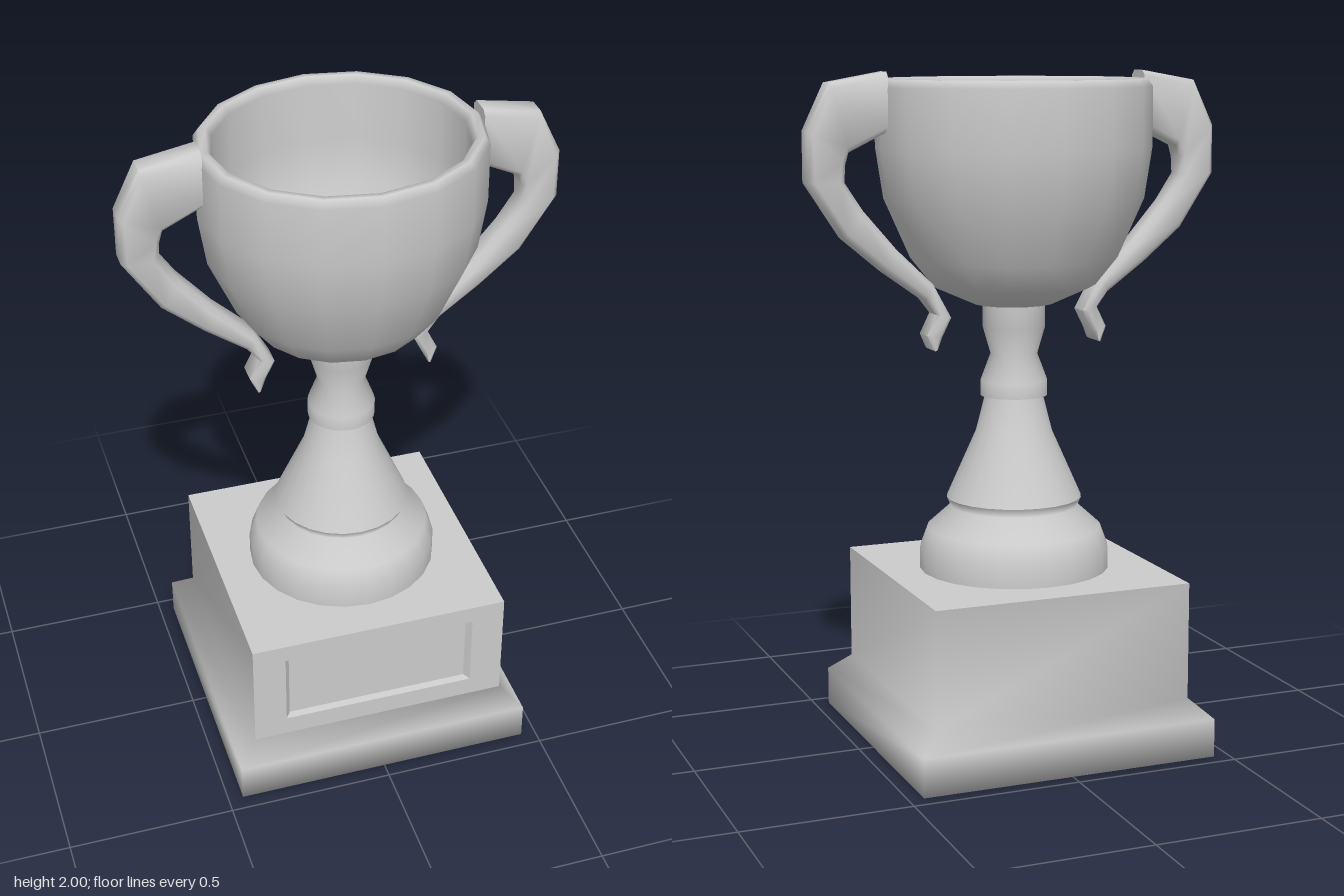
import * as THREE from 'three';
import { toCreasedNormals } from 'three/addons/utils/BufferGeometryUtils.js';

const material = new THREE.MeshStandardMaterial({ color: 0xcccccc });

// Skin a row of rings of equal point count; skip(i, j) leaves a quad open.
function loft(rings, { capStart = false, capEnd = false, skip = () => false } = {}) {
  const n = rings[0].length;
  const index = [];
  for (let i = 0; i < rings.length - 1; i++) {
    for (let j = 0; j < n; j++) {
      if (skip(i, j)) continue;
      const k = (j + 1) % n;
      const a = i * n + j, b = i * n + k, c = b + n, d = a + n;
      index.push(a, b, c, a, c, d);
    }
  }
  const last = (rings.length - 1) * n;
  for (let j = 1; j < n - 1; j++) {
    if (capStart) index.push(0, j + 1, j);
    if (capEnd) index.push(last, last + j, last + j + 1);
  }
  const geometry = new THREE.BufferGeometry();
  geometry.setAttribute('position', new THREE.Float32BufferAttribute(rings.flat(2), 3));
  geometry.setIndex(index);
  geometry.computeVertexNormals();
  return geometry;
}

function part(name, geometry) {
  const mesh = new THREE.Mesh(geometry, material);
  mesh.name = name;
  return mesh;
}

function lathe(name, profile, segments) {
  return part(name, new THREE.LatheGeometry(profile.map(([r, y]) => new THREE.Vector2(r, y)), segments));
}

// Square plinth with a flared skirt and a sunken panel in the front
function createPlinth() {
  const group = new THREE.Group();
  group.name = 'plinth';
  const half = 0.395, top = 0.52, shoulder = 0.17;
  const square = (s, y) => [[-s, y, s], [s, y, s], [s, y, -s], [-s, y, -s]];
  const rect = (x, y0, y1, z) => [[-x, y0, z], [x, y0, z], [x, y1, z], [-x, y1, z]];

  group.add(part('plinthBody', loft(
    [square(0.455, 0), square(0.455, 0.115), square(half, shoulder), square(half, top)],
    { capStart: true, skip: (i, j) => i === 2 && j === 0 },
  )));

  const lid = new THREE.PlaneGeometry(half * 2, half * 2).rotateX(-Math.PI / 2).translate(0, top, 0);
  group.add(part('plinthTop', lid));

  const panel = loft([
    rect(half, shoulder, top, half),
    rect(0.295, 0.23, 0.465, half),
    rect(0.28, 0.235, 0.46, half - 0.02),
  ], { capEnd: true });
  group.add(part('frontPanel', toCreasedNormals(panel, 0.6)));
  return group;
}

// Scrolled handle: pairs of outer and inner edge points, chamfered section
function createHandle(name) {
  const pairs = [
    [0.4, 2.0, 0.4, 1.83],
    [0.57, 1.97, 0.515, 1.775],
    [0.635, 1.835, 0.525, 1.74],
    [0.635, 1.69, 0.528, 1.69],
    [0.53, 1.53, 0.475, 1.61],
    [0.41, 1.43, 0.375, 1.495],
    [0.29, 1.345, 0.265, 1.39],
    [0.255, 1.3, 0.21, 1.29],
    [0.285, 1.24, 0.238, 1.235],
    [0.263, 1.195, 0.255, 1.2],
  ];
  const w = 0.044;
  const rings = pairs.map(([ox, oy, ix, iy]) => {
    const h = Math.hypot(ox - ix, oy - iy) / 2;
    const c = Math.min(0.016, h * 0.5);
    const ux = (ox - ix) / (2 * h), uy = (oy - iy) / (2 * h);
    const section = [
      [h, c - w], [h, w - c], [h - c, w], [c - h, w],
      [-h, w - c], [-h, c - w], [c - h, -w], [h - c, -w],
    ];
    return section.map(([u, z]) => [(ox + ix) / 2 + ux * u, (oy + iy) / 2 + uy * u, z]);
  });
  const geometry = loft(rings, { capStart: true, capEnd: true });
  return part(name, toCreasedNormals(geometry, 1.1));
}

export function createModel() {
  const group = new THREE.Group();
  group.name = 'trophy';
  group.add(createPlinth());

  // Round foot, cone and collared stem
  group.add(lathe('foot', [
    [0.285, 0.52], [0.285, 0.583], [0.262, 0.645], [0.19, 0.71], [0.203, 0.737],
  ], 24));
  group.add(lathe('cone', [[0.203, 0.737], [0.115, 0.935], [0.087, 1.045]], 24));
  group.add(lathe('collarUnderside', [[0.08, 1.045], [0.1, 1.045]], 24));
  group.add(lathe('stem', [
    [0.1, 1.045], [0.1, 1.09], [0.07, 1.17], [0.093, 1.25], [0.093, 1.33],
  ], 24));

  // Slightly oval bowl: outside up, over the rim, inside down
  const bowl = lathe('bowl', [
    [0, 1.317], [0.12, 1.32], [0.245, 1.375], [0.31, 1.455], [0.388, 1.63],
    [0.411, 1.78], [0.411, 1.955], [0.395, 1.978], [0.375, 1.978], [0.36, 1.955],
    [0.36, 1.78], [0.34, 1.65], [0.27, 1.48], [0.2, 1.41], [0.1, 1.37], [0, 1.365],
  ], 16);
  bowl.scale.z = 0.92;
  group.add(bowl);

  // Handles, the right one turned half round
  const rightHandle = createHandle('rightHandle');
  rightHandle.rotation.y = Math.PI;
  group.add(createHandle('leftHandle'), rightHandle);
  return group;
}
